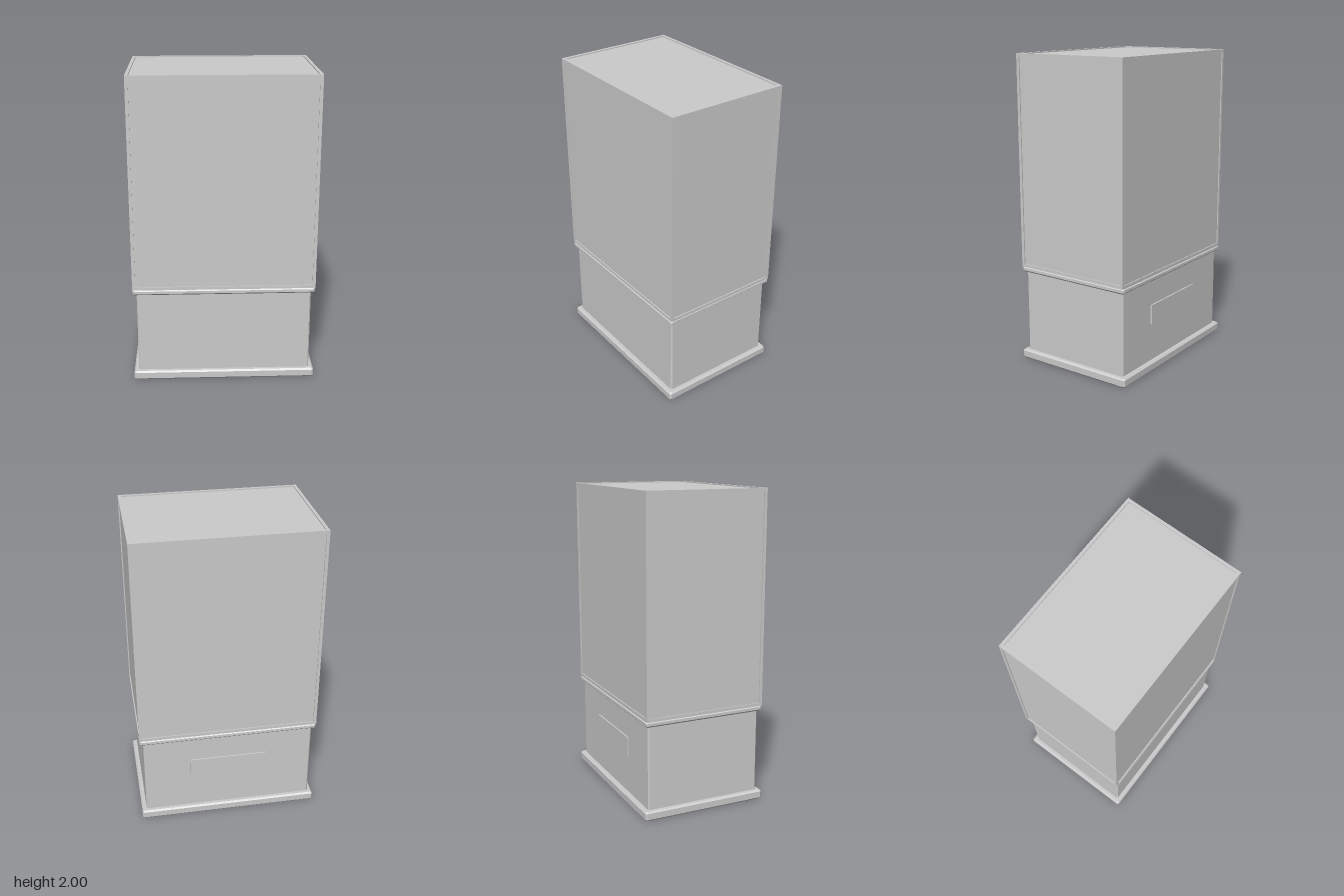
import * as THREE from 'three';

const material = new THREE.MeshStandardMaterial({ color: 0xcccccc });

function add(group, name, geometry, x = 0, y = 0, z = 0) {
  const mesh = new THREE.Mesh(geometry, material);
  mesh.name = name;
  mesh.position.set(x, y, z);
  group.add(mesh);
  return mesh;
}

// Box standing on y = 0 with all edges chamfered by c
function chamferedBox(w, h, d, c) {
  const x = w / 2, z = d / 2;
  const outline = [
    [x - c, -z], [x, -z + c], [x, z - c], [x - c, z],
    [-x + c, z], [-x, z - c], [-x, -z + c], [-x + c, -z],
  ].map(([a, b]) => new THREE.Vector2(a, b));
  const geometry = new THREE.ExtrudeGeometry(new THREE.Shape(outline), {
    depth: h - 2 * c, bevelEnabled: true, bevelSegments: 1,
    bevelThickness: c, bevelSize: c, bevelOffset: -c,
  });
  geometry.rotateX(-Math.PI / 2);
  geometry.translate(0, c, 0);
  return geometry;
}

export function createModel() {
  const model = new THREE.Group();
  model.name = 'displayCase';

  // Stand: plinth, pedestal body and the rim carrying the case
  add(model, 'plinth', chamferedBox(1.18, 0.06, 0.826, 0.01));
  add(model, 'pedestal', chamferedBox(1.12, 0.56, 0.765, 0.008), 0, 0.05, 0);
  add(model, 'rim', chamferedBox(1.166, 0.037, 0.806, 0.01), 0, 0.6, 0);

  // Plate on the back of the pedestal
  add(model, 'backPlate', new THREE.BoxGeometry(0.51, 0.128, 0.016), 0, 0.372, -0.384);

  // Case: panelled box set slightly behind a frame of square bars
  const W = 1.17, D = 0.8, y0 = 0.635, y1 = 2, bar = 0.02, inset = 0.007;
  const H = y1 - y0, yMid = (y0 + y1) / 2;
  add(model, 'casePanels',
    new THREE.BoxGeometry(W - 2 * inset, H - 2 * inset, D - 2 * inset), 0, yMid, 0);

  const frame = new THREE.Group();
  frame.name = 'caseFrame';
  model.add(frame);
  const fx = (W - bar) / 2, fz = (D - bar) / 2;
  for (const a of [-1, 1]) {
    for (const b of [-1, 1]) {
      const y = yMid + (b * (H - bar)) / 2;
      add(frame, 'cornerPost', new THREE.BoxGeometry(bar, H, bar), a * fx, yMid, b * fz);
      add(frame, 'longRail', new THREE.BoxGeometry(W - 2 * bar, bar, bar), 0, y, a * fz);
      add(frame, 'sideRail', new THREE.BoxGeometry(bar, bar, D - 2 * bar), a * fx, y, 0);
    }
  }
  return model;
}
